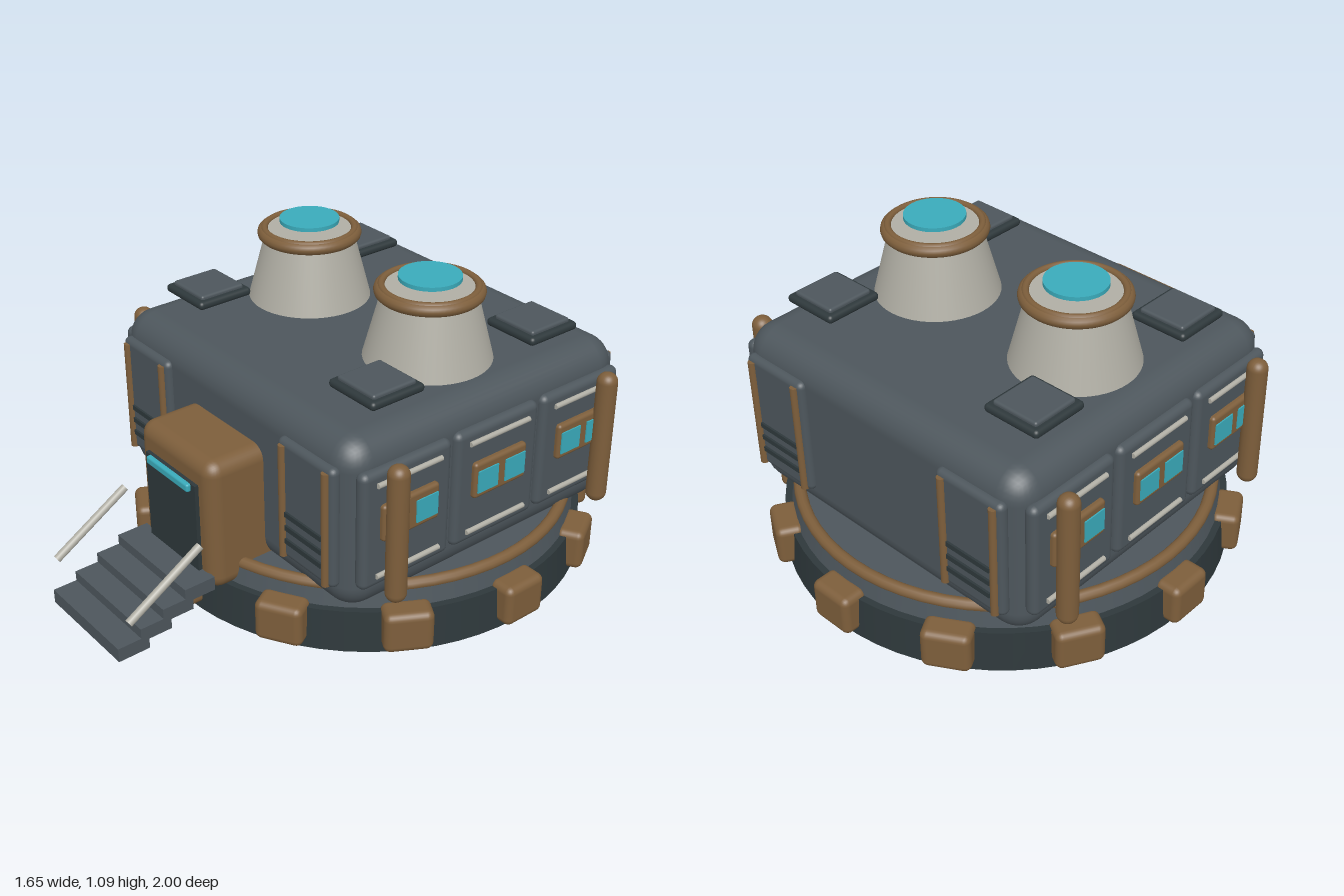
import * as THREE from 'three';
import { RoundedBoxGeometry } from 'three/addons/geometries/RoundedBoxGeometry.js';

const mat = (color) => new THREE.MeshStandardMaterial({ color });
const CZ = -0.175; // centre of the round base and hull along z

export function createModel() {
  const model = new THREE.Group();
  const steel = mat(0x4d565c), dark = mat(0x2e383b), brown = mat(0x7d5e3b);
  const glass = mat(0x3aabbb), pale = mat(0xb0aea4);

  const add = (parent, name, geometry, material, x = 0, y = 0, z = 0) => {
    const mesh = new THREE.Mesh(geometry, material);
    mesh.name = name;
    mesh.position.set(x, y, z);
    parent.add(mesh);
    return mesh;
  };
  const group = (parent, name, x = 0, y = 0, z = 0) => {
    const g = new THREE.Group();
    g.name = name;
    g.position.set(x, y, z);
    parent.add(g);
    return g;
  };
  const rbox = (w, h, d, r, s = 3) => new RoundedBoxGeometry(w, h, d, s, r);
  const box = (w, h, d) => new THREE.BoxGeometry(w, h, d);
  const rod = (r, len) => new THREE.CylinderGeometry(r, r, len, 20);
  const torus = (r, t) => new THREE.TorusGeometry(r, t, 12, 64).rotateX(Math.PI / 2);

  // Round base with a raised deck, a trim ring and twelve clamps
  const base = group(model, 'base', 0, 0, CZ);
  add(base, 'baseDisc', new THREE.CylinderGeometry(0.772, 0.784, 0.15, 64), dark, 0, 0.075, 0);
  add(base, 'deck', new THREE.CylinderGeometry(0.735, 0.75, 0.07, 64), steel, 0, 0.18, 0);
  add(base, 'trimRing', torus(0.718, 0.021), brown, 0, 0.215, 0);
  for (let i = 0; i < 12; i++) {
    const a = (i / 12) * Math.PI * 2;
    const clamp = add(base, 'clamp', rbox(0.165, 0.148, 0.1, 0.025), brown,
      Math.sin(a) * 0.777, 0.095, Math.cos(a) * 0.777);
    clamp.rotation.y = a;
  }

  // Hull
  add(model, 'hull', rbox(1.26, 0.62, 1.2, 0.1, 4), steel, 0, 0.49, CZ);

  // Wall panels with two windows and two rails on both sides
  for (const s of [1, -1]) {
    const wall = group(model, s > 0 ? 'leftWall' : 'rightWall', 0, 0, CZ);
    wall.rotation.y = (s * Math.PI) / 2;
    for (const i of [-1, 0, 1]) {
      const panel = group(wall, 'wallPanel', i * 0.382, 0.5, 0.63);
      add(panel, 'panelPlate', rbox(0.365, 0.42, 0.05, 0.024), steel);
      add(panel, 'windowFrame', rbox(0.23, 0.13, 0.035, 0.012), brown, 0, 0.025, 0.026);
      for (const k of [-1, 1]) {
        add(panel, 'window', box(0.088, 0.08, 0.02), glass, k * 0.06, 0.022, 0.038);
        add(panel, 'rail', rod(0.009, 0.26).rotateZ(Math.PI / 2), pale, 0, k * 0.165, 0.029);
      }
    }
    // Upright columns
    for (const k of [-1, 1]) {
      add(model, 'column', rbox(0.07, 0.495, 0.07, 0.034, 4), brown, s * 0.693, 0.488, CZ + k * 0.46);
    }
  }

  // Vent panels at front and back
  for (const f of [0, 1]) {
    const end = group(model, f ? 'backVents' : 'frontVents', 0, 0, CZ);
    end.rotation.y = f * Math.PI;
    for (const s of [-1, 1]) {
      const vent = group(end, 'ventPanel', s * 0.44, 0.5, 0.6);
      add(vent, 'ventPlate', rbox(0.275, 0.435, 0.045, 0.022), steel);
      for (const k of [-1, 1]) add(vent, 'ventBar', rod(0.014, 0.41), brown, k * 0.106, -0.005, 0.022);
      for (let i = 0; i < 3; i++) {
        add(vent, 'slat', box(0.18, 0.018, 0.02), dark, 0, -0.045 - i * 0.05, 0.02);
      }
    }
  }

  // Entrance
  const entrance = group(model, 'entrance');
  add(entrance, 'portal', rbox(0.41, 0.48, 0.3, 0.05, 4), brown, 0, 0.38, 0.483);
  add(entrance, 'door', box(0.28, 0.37, 0.03), dark, 0, 0.345, 0.632);
  add(entrance, 'doorLight', rbox(0.235, 0.03, 0.025, 0.008), glass, 0, 0.515, 0.65);

  // Steps and handrails
  const stairs = group(model, 'stairs');
  for (let i = 0; i < 4; i++) {
    add(stairs, 'step', box(0.4, 0.05, 0.115), steel, 0, 0.075 + i * 0.036, 0.9425 - i * 0.086);
  }
  for (const s of [-1, 1]) {
    const rail = add(stairs, 'handrail', rod(0.014, 0.325), pale, s * 0.22, 0.283, 0.828);
    rail.rotation.x = -Math.atan2(0.275, 0.17);
  }

  // Roof towers with a collar and a floating lens
  for (const s of [-1, 1]) {
    const tower = group(model, 'tower', s * 0.31, 0, CZ);
    add(tower, 'towerCone', new THREE.CylinderGeometry(0.15, 0.221, 0.27, 48), pale, 0, 0.915, 0);
    add(tower, 'collar', torus(0.161, 0.021), brown, 0, 1.035, 0);
    add(tower, 'collarRim', torus(0.157, 0.012), brown, 0, 1.049, 0);
    add(tower, 'lens', new THREE.CylinderGeometry(0.104, 0.104, 0.014, 40), glass, 0, 1.08, 0);

    // Square hatches above the roof corners
    for (const z of [-0.515, 0.165]) {
      const hatch = group(model, 'hatch', s * 0.448, 0, z);
      add(hatch, 'hatchBase', rbox(0.215, 0.03, 0.215, 0.014), dark, 0, 0.86, 0);
      add(hatch, 'hatchPlate', rbox(0.175, 0.024, 0.175, 0.009), steel, 0, 0.876, 0);
    }
  }
  return model;
}
